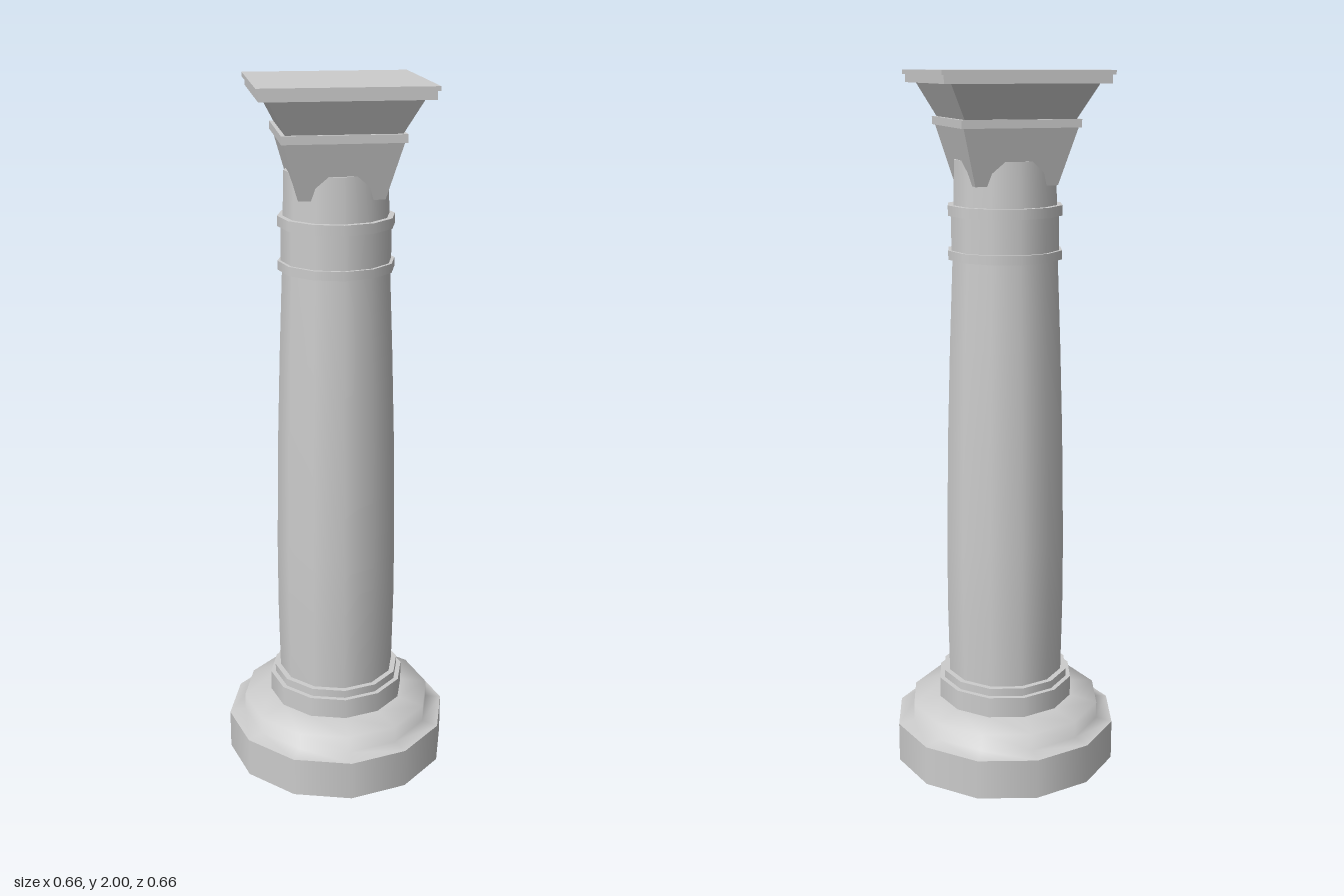
import * as THREE from 'three';

const stone = new THREE.MeshStandardMaterial({ color: 0xcccccc });
stone.name = 'stone grey';

// Turned part from [radius, height] pairs, listed bottom to top
function turned(name, profile, sides = 12) {
  const points = profile.map(([r, y]) => new THREE.Vector2(r, y));
  const mesh = new THREE.Mesh(new THREE.LatheGeometry(points, sides), stone);
  mesh.name = name;
  return mesh;
}

// Square part from [half width, height] pairs, with flat faces
function square(name, profile) {
  const mesh = turned(name, profile.map(([h, y]) => [h * Math.SQRT2, y]), 4);
  mesh.geometry = mesh.geometry.rotateY(Math.PI / 4).toNonIndexed();
  mesh.geometry.computeVertexNormals();
  return mesh;
}

// Straight drum whose ends keep sharp edges
function drum(name, radius, bottom, top) {
  const group = new THREE.Group();
  group.name = name;
  group.add(
    turned(name + 'Underside', [[0, bottom], [radius, bottom]]),
    turned(name + 'Side', [[radius, bottom], [radius, top]]),
    turned(name + 'Top', [[radius, top], [0, top]])
  );
  return group;
}

export function createModel() {
  const column = new THREE.Group();
  column.name = 'column';

  // Stepped foot
  column.add(
    turned('plinthUnderside', [[0, 0], [0.328, 0]]),
    turned('plinthSide', [[0.328, 0], [0.328, 0.117]]),
    turned('plinthLedge', [[0.328, 0.117], [0.281, 0.125], [0.281, 0.175], [0.2, 0.19]]),
    drum('lowerFootRing', 0.2, 0.18, 0.25),
    drum('upperFootRing', 0.186, 0.25, 0.273)
  );

  // Swelling shaft and neck
  column.add(
    turned('shaft', [[0.17, 0.27], [0.174, 0.48], [0.174, 0.68], [0.168, 1.0], [0.16, 1.25], [0.15, 1.5]]),
    turned('collar', [[0.153, 1.5], [0.153, 1.63]]),
    turned('neck', [[0.147, 1.62], [0.143, 1.765]]),
    turned('neckTop', [[0.143, 1.765], [0, 1.765]]),
    drum('lowerCollarRing', 0.162, 1.495, 1.52),
    drum('upperCollarRing', 0.162, 1.615, 1.643)
  );

  // Square capital: flared block, band, second flare and slab
  column.add(
    square('capital', [
      [0, 1.7], [0.115, 1.7], [0.157, 1.853], [0.164, 1.853], [0.164, 1.875],
      [0.153, 1.875], [0.2, 1.966], [0.225, 1.966], [0.225, 1.988],
      [0.232, 1.988], [0.232, 2], [0, 2]
    ])
  );
  return column;
}
